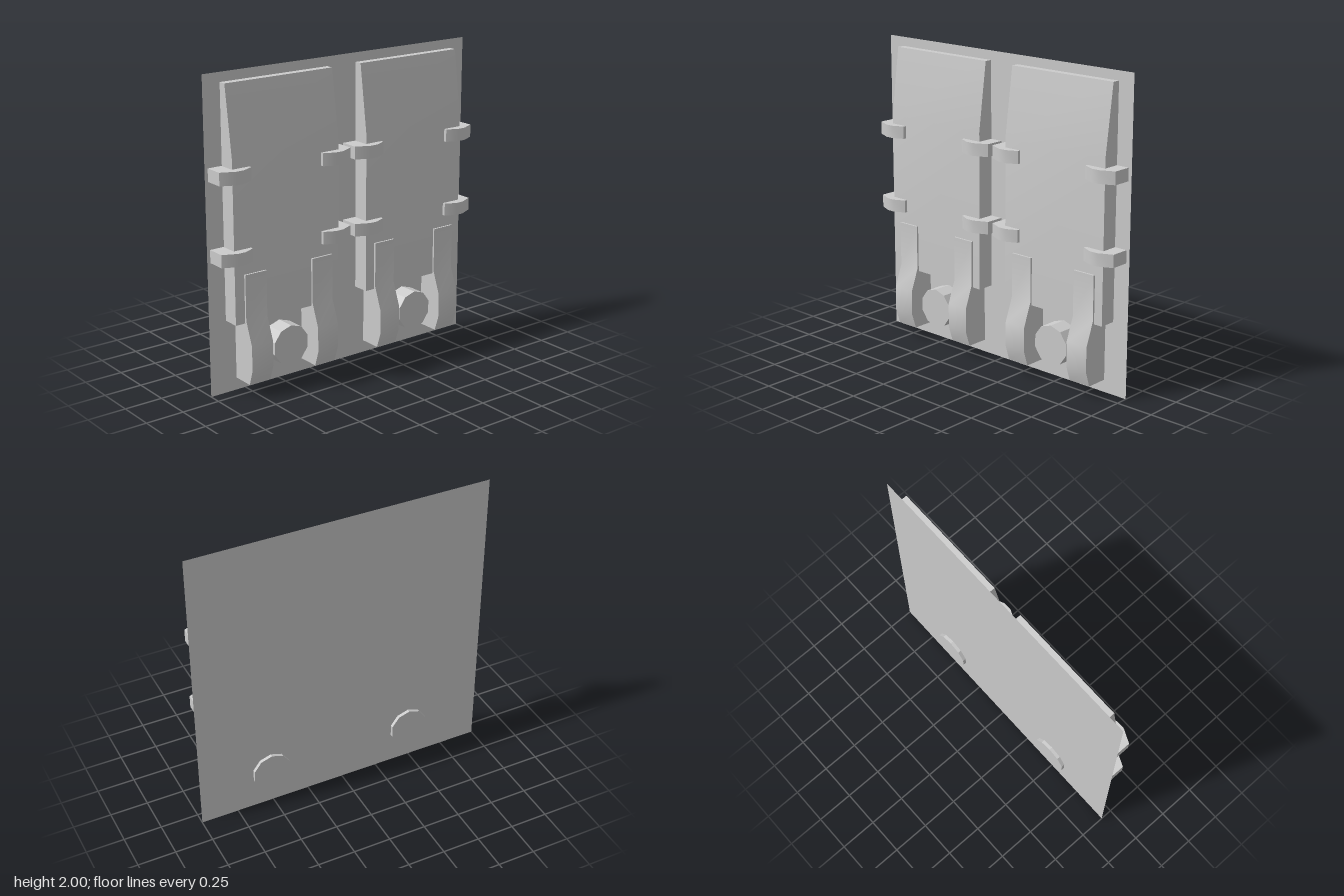
import * as THREE from 'three';
import { toCreasedNormals } from 'three/addons/utils/BufferGeometryUtils.js';

const BACK = -0.08; // x of the backing plate
const grey = new THREE.MeshStandardMaterial({ color: 0xcccccc });
const greyThin = new THREE.MeshStandardMaterial({ color: 0xcccccc, side: THREE.DoubleSide });

// Extrude a profile symmetrically about its plane, softening shallow bends
function slab(points, depth) {
  const shape = new THREE.Shape(points.map(([a, b]) => new THREE.Vector2(a, b)));
  const geo = new THREE.ExtrudeGeometry(shape, { depth, bevelEnabled: false });
  geo.translate(0, 0, -depth / 2);
  return toCreasedNormals(geo, 0.6);
}

function add(group, name, geo, x, y, z) {
  const mesh = new THREE.Mesh(geo, grey);
  mesh.name = name;
  mesh.position.set(x, y, z);
  group.add(mesh);
}

// Side profiles (x, y), extruded along z
const panelGeo = slab([[BACK, 0.47], [0.03, 0.47], [0.03, 1.5], [-0.03, 1.94], [BACK, 1.94]], 0.776);
const legGeo = slab([
  [BACK, 0.08], [0.065, 0.08], [0.098, 0.18], [0.098, 0.34], [0.042, 0.49], [0.042, 0.78], [BACK, 0.78],
], 0.154);

// Hooked clip, plan profile (x, z), extruded along y; side = +1 / -1 mirrors it
function clipGeometry(side) {
  const plan = [
    [BACK, 0.48], [0.042, 0.48], [0.083, 0.39], [0.083, 0.335],
    [0.05, 0.262], [0.028, 0.262], [0.028, 0.385], [BACK, 0.385],
  ];
  return slab(plan.map(([x, z]) => [x, -z * side]), 0.082).rotateX(-Math.PI / 2);
}

// Ten-sided boss with its axis along x, passing through the plate
const bossGeo = new THREE.CylinderGeometry(0.13, 0.13, 0.15, 10, 1, false, Math.PI / 2).rotateZ(Math.PI / 2);
const bossFlat = toCreasedNormals(bossGeo, 0.4);

// One door bay: panel, four clips, two legs and a boss
function createBay() {
  const bay = new THREE.Group();
  add(bay, 'panel', panelGeo, 0, 0, 0);
  for (const side of [1, -1]) {
    const clip = clipGeometry(side);
    for (const y of [0.9, 1.4]) add(bay, 'clip', clip, 0, y, 0.006);
    add(bay, 'leg', legGeo, 0, 0, side * 0.248 - 0.004);
  }
  add(bay, 'boss', bossFlat, -0.027, 0.255, -0.005);
  return bay;
}

export function createModel() {
  const model = new THREE.Group();
  model.name = 'wallPanel';

  // Thin backing plate
  const plate = new THREE.Mesh(new THREE.PlaneGeometry(2, 2).rotateY(Math.PI / 2), greyThin);
  plate.name = 'backPlate';
  plate.position.set(BACK, 1, 0);
  model.add(plate);

  // Two identical bays side by side
  for (const [name, z] of [['frontBay', 0.492], ['rearBay', -0.503]]) {
    const bay = createBay();
    bay.name = name;
    bay.position.z = z;
    model.add(bay);
  }
  return model;
}
